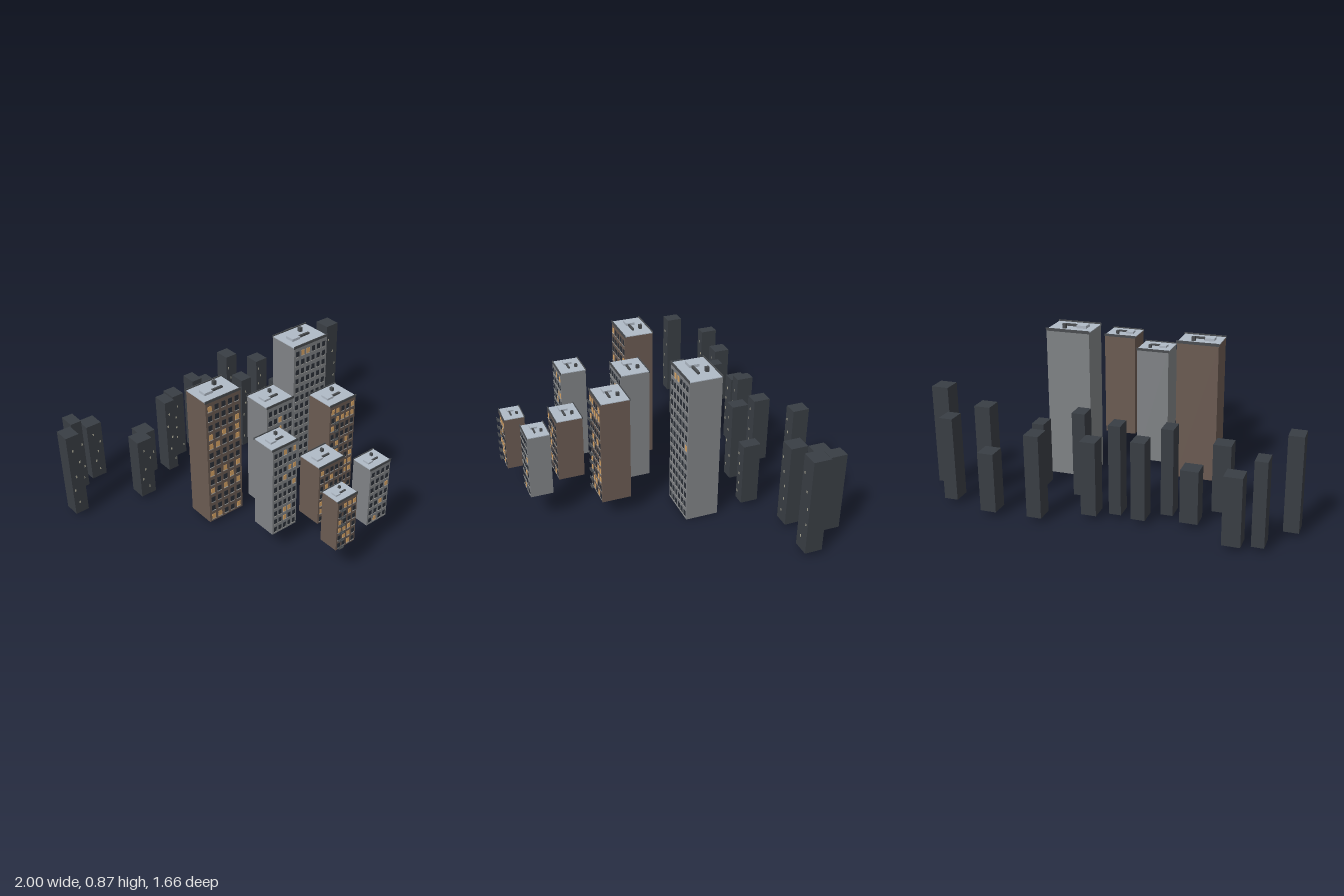
import * as THREE from 'three';
import { mergeGeometries } from 'three/addons/utils/BufferGeometryUtils.js';

const mat = (color) => new THREE.MeshStandardMaterial({ color, flatShading: true });
const M = {
  grey: mat(0x808386), brown: mat(0x6b5b52), roof: mat(0xb0bac6), trim: mat(0x4a4d50),
  glass: mat(0x2b3038), lit: mat(0xd9a566), sill: mat(0x9a9a98), dark: mat(0x393e44), dot: mat(0xa9a694),
};

// Box given by its minimum and maximum corners
function box(x0, x1, y0, y1, z0, z1) {
  return new THREE.BoxGeometry(x1 - x0, y1 - y0, z1 - z0)
    .translate((x0 + x1) / 2, (y0 + y1) / 2, (z0 + z1) / 2);
}

function add(group, name, geometries, material) {
  if (!geometries.length) return;
  const mesh = new THREE.Mesh(mergeGeometries(geometries), material);
  mesh.name = name;
  group.add(mesh);
}

// Small seeded generator for lit windows
function seeded(seed) {
  let s = seed * 7919 + 17;
  return () => (s = (s * 16807) % 2147483647) / 2147483647;
}

// Apartment block with a windowed front, parapets and roof equipment
function apartmentBlock([x0, x1, y0, y1, z0, z1, wall, cols, floors, balconies], index) {
  const g = new THREE.Group();
  g.name = 'apartmentBlock' + (index + 1);
  const rnd = seeded(index + 3);
  const w = x1 - x0, d = z1 - z0, k = w / 0.25;
  add(g, 'walls', [box(x0, x1, y0, y1 - 0.004, z0, z1)], M[wall]);
  add(g, 'roof', [box(x0, x1, y1 - 0.004, y1, z0, z1)], M.roof);

  // Parapets along the front and back edges
  add(g, 'parapets', [z0, z1].map((z) =>
    box(x0 - 0.003, x1 + 0.003, y1 - 0.008, y1 + 0.008 * k, z - 0.002, z + 0.002)), M.trim);

  // Window grid with sills
  const dark = [], lit = [], sills = [], decks = [];
  const cw = w * 0.96 / cols, fh = (y1 - y0 - 0.02) / floors;
  for (let f = 0; f < floors; f++) {
    const y = y0 + (f + 0.5) * fh + 0.003;
    for (let c = 0; c < cols; c++) {
      const x = x0 + w * 0.02 + (c + 0.5) * cw, hw = cw * 0.28, hh = fh * 0.27;
      const list = rnd() < (wall === 'brown' ? 0.28 : 0.1) ? lit : dark;
      list.push(box(x - hw, x + hw, y - hh, y + hh, z1 - 0.002, z1 + 0.002));
      sills.push(box(x - hw * 1.15, x + hw * 1.15, y - hh - 0.004, y - hh, z1 - 0.002, z1 + 0.004));
    }
    // Stacked balconies: slab and front railing
    if (balconies) {
      const bx = x0 + w * 0.2, bw = 0.016, by = y - fh * 0.35;
      decks.push(box(bx - bw, bx + bw, by, by + 0.004, z1, z1 + 0.018));
      decks.push(box(bx - bw, bx + bw, by + 0.014, by + 0.017, z1 + 0.015, z1 + 0.018));
      for (const s of [-1, 1]) {
        const px = bx + s * (bw - 0.0015);
        decks.push(box(px - 0.0015, px + 0.0015, by, by + 0.017, z1 + 0.015, z1 + 0.018));
      }
    }
  }
  add(g, 'darkWindows', dark, M.glass);
  add(g, 'litWindows', lit, M.lit);
  add(g, 'windowSills', sills, M.sill);
  add(g, 'balconies', decks, M.trim);

  // Roof equipment: stair hut, duct and chimney
  const X = (t) => x0 + w * t, Z = (t) => z0 + d * t;
  add(g, 'roofHut', [box(X(0.17), X(0.4), y1, y1 + 0.016 * k, Z(0.36), Z(0.66))], M.roof);
  add(g, 'roofDuct', [box(X(0.4), X(0.72), y1, y1 + 0.012 * k, Z(0.53), Z(0.6))], M.trim);
  add(g, 'chimney', [box(X(0.61), X(0.69), y1, y1 + 0.026 * k, Z(0.22), Z(0.33))], M.trim);
  return g;
}

// Plain distant tower with a few faint windows
function distantTower([x0, x1, top, z0, z1], index) {
  const g = new THREE.Group();
  g.name = 'distantTower' + (index + 1);
  const rnd = seeded(index + 40), y0 = 0.027, dots = [];
  add(g, 'walls', [box(x0, x1, y0, top, z0, z1)], M.dark);
  for (let i = 0; i < 5; i++) {
    const x = x0 + (x1 - x0) * (0.2 + 0.2 * Math.floor(rnd() * 4));
    const y = y0 + (top - y0) * (0.14 + 0.17 * i);
    dots.push(box(x - 0.004, x + 0.004, y - 0.007, y + 0.007, z1 - 0.001, z1 + 0.0015));
  }
  add(g, 'faintWindows', dots, M.dot);
  return g;
}

export function createModel() {
  const model = new THREE.Group();
  model.name = 'cityBlocks';

  // x0, x1, y0, y1, z0, z1, wall, columns, floors, balconies
  const blocks = [
    [-0.46, -0.23, 0.025, 0.812, -0.11, 0.058, 'brown', 5, 13, false],
    [0.23, 0.478, 0.002, 0.85, -0.22, -0.035, 'grey', 6, 14, false],
    [-0.148, 0.035, 0.045, 0.712, 0.012, 0.18, 'grey', 5, 11, false],
    [0.117, 0.303, 0.108, 0.715, 0.222, 0.386, 'brown', 5, 11, true],
    [-0.343, -0.178, 0.13, 0.676, 0.312, 0.458, 'grey', 5, 10, false],
    [-0.113, 0.063, 0.148, 0.517, 0.412, 0.56, 'brown', 5, 7, false],
    [0.06, 0.205, 0.17, 0.537, 0.632, 0.757, 'grey', 4, 7, false],
    [-0.22, -0.087, 0.19, 0.502, 0.698, 0.812, 'brown', 4, 6, true],
  ];
  blocks.forEach((b, i) => model.add(apartmentBlock(b, i)));

  // x0, x1, top, z0, z1
  const towers = [
    [-1, -0.92, 0.54, -0.58, -0.485], [-0.865, -0.8, 0.475, -0.78, -0.68],
    [-0.755, -0.66, 0.39, -0.81, -0.715], [-0.625, -0.53, 0.4, -0.475, -0.38],
    [-0.5, -0.405, 0.315, -0.645, -0.547], [-0.355, -0.29, 0.5, -0.59, -0.493],
    [-0.235, -0.16, 0.45, -0.687, -0.59], [-0.1, -0.035, 0.515, -0.665, -0.57],
    [0.018, 0.1, 0.43, -0.715, -0.617], [0.15, 0.222, 0.495, -0.51, -0.415],
    [0.275, 0.355, 0.475, -0.825, -0.728], [0.405, 0.473, 0.39, -0.467, -0.368],
    [0.525, 0.612, 0.35, -0.834, -0.736], [0.653, 0.742, 0.505, -0.597, -0.5],
    [0.785, 0.86, 0.485, -0.763, -0.666], [0.905, 1, 0.582, -0.577, -0.478],
  ];
  towers.forEach((t, i) => model.add(distantTower(t, i)));
  return model;
}
